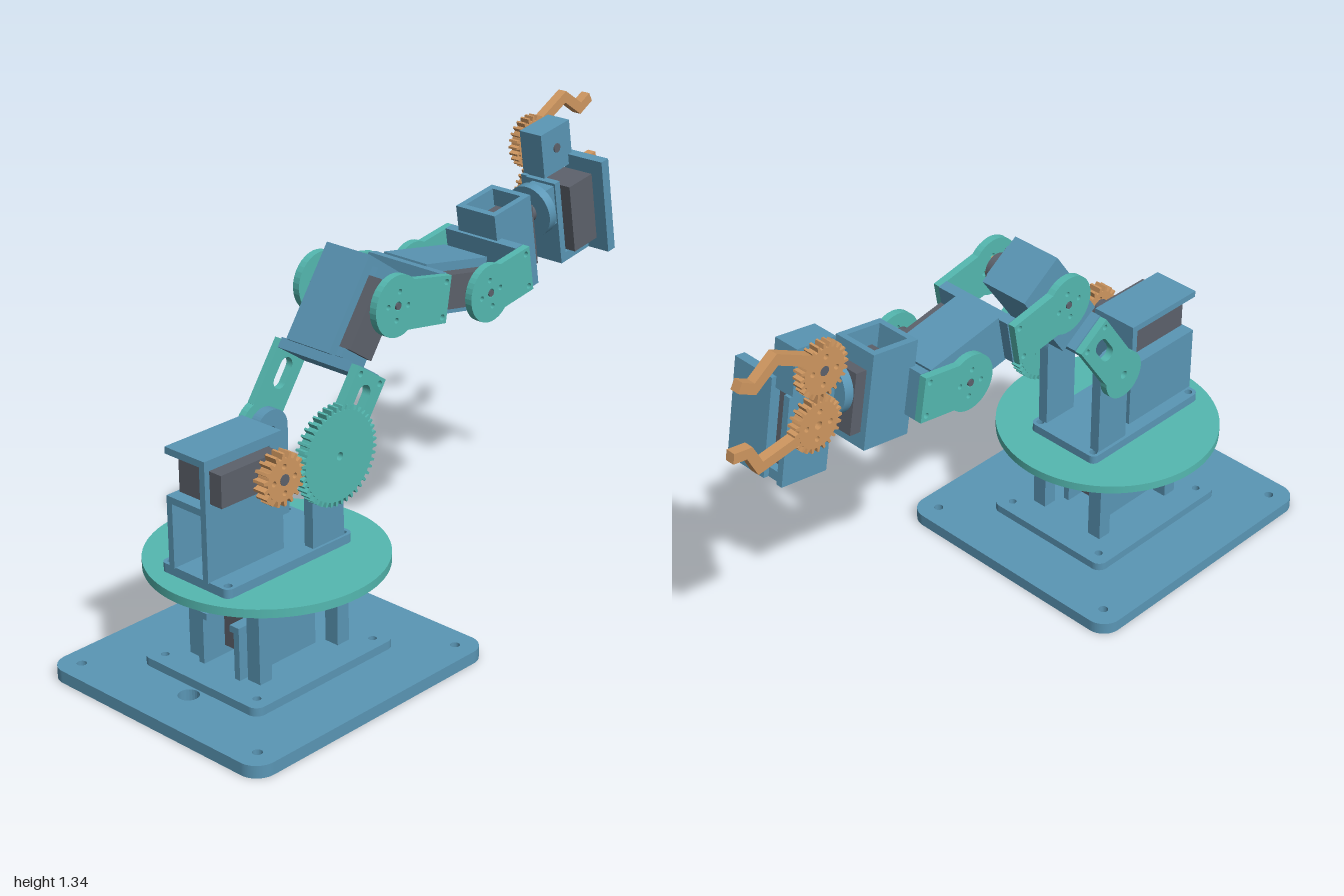
import * as THREE from 'three';

const material = (name, color) => {
  const m = new THREE.MeshStandardMaterial({ color });
  m.name = name;
  return m;
};

export function createModel() {
  const blue = material('steel blue', 0x5a96b5);
  const teal = material('teal', 0x54b8b0);
  const orange = material('orange', 0xcf9760);
  const dark = material('servo grey', 0x5c616b);
  const model = new THREE.Group();

  const add = (parent, name, geo, mat) => {
    const m = new THREE.Mesh(geo, mat);
    m.name = name;
    parent.add(m);
    return m;
  };
  // Box given by its limits
  const box = (parent, name, mat, x0, x1, y0, y1, z0, z1) => {
    const m = add(parent, name, new THREE.BoxGeometry(x1 - x0, y1 - y0, z1 - z0), mat);
    m.position.set((x0 + x1) / 2, (y0 + y1) / 2, (z0 + z1) / 2);
    return m;
  };
  const cyl = (parent, name, mat, r, h, axis, x, y, z, seg = 32) => {
    const m = add(parent, name, new THREE.CylinderGeometry(r, r, h, seg), mat);
    if (axis === 'x') m.rotation.z = Math.PI / 2;
    if (axis === 'z') m.rotation.x = Math.PI / 2;
    m.position.set(x, y, z);
    return m;
  };
  const hole = (shape, x, y, r) => {
    shape.holes.push(new THREE.Path().absarc(x, y, r, 0, Math.PI * 2, true));
  };
  const extrude = (shape, depth) =>
    new THREE.ExtrudeGeometry(shape, { depth, bevelEnabled: false, curveSegments: 12 });
  const upright = (parent, name, mat, shape, z0, z1) => {
    const m = add(parent, name, extrude(shape, z1 - z0), mat);
    m.position.z = z0;
    return m;
  };
  // Horizontal rounded plate with a screw hole in each corner
  const plate = (name, mat, cx, hx, hz, y0, y1, r, inset, holeR, extra) => {
    const s = new THREE.Shape();
    s.absarc(hx - r, hz - r, r, 0, Math.PI / 2);
    s.absarc(-hx + r, hz - r, r, Math.PI / 2, Math.PI);
    s.absarc(-hx + r, -hz + r, r, Math.PI, Math.PI * 1.5);
    s.absarc(hx - r, -hz + r, r, Math.PI * 1.5, Math.PI * 2);
    s.closePath();
    for (const i of [-1, 1]) for (const j of [-1, 1])
      hole(s, i * (hx - inset), j * (hz - inset), holeR);
    if (extra) hole(s, ...extra);
    const m = add(model, name, extrude(s, y1 - y0), mat);
    m.rotation.x = -Math.PI / 2;
    m.position.set(cx, y0, 0);
  };
  // Spur gear lying in the xy plane
  const gear = (parent, name, mat, x, y, z0, z1, r, teeth, depth, holes) => {
    const s = new THREE.Shape();
    const step = (Math.PI * 2) / teeth;
    for (let i = 0; i < teeth; i++)
      [[0, r - depth], [0.28, r - depth], [0.42, r], [0.72, r], [0.86, r - depth]].forEach(([t, q], k) => {
        const a = (i + t) * step;
        s[i + k ? 'lineTo' : 'moveTo'](q * Math.cos(a), q * Math.sin(a));
      });
    s.closePath();
    hole(s, 0, 0, 0.012);
    for (let i = 0; i < holes; i++)
      hole(s, r * 0.5 * Math.cos(i * Math.PI / 2), r * 0.5 * Math.sin(i * Math.PI / 2), 0.008);
    const m = upright(parent, name, mat, s, z0, z1);
    m.position.set(x, y, z0);
  };

  // Base
  plate('basePlate', blue, -0.55, 0.45, 0.41, 0, 0.037, 0.06, 0.065, 0.014, [-0.305, 0, 0.03]);
  plate('baseStep', blue, -0.55, 0.27, 0.225, 0.037, 0.062, 0.03, 0.045, 0.012);
  for (const x of [-0.72, -0.42]) for (const z of [-0.137, 0.09])
    box(model, 'basePost', blue, x, x + 0.045, 0.062, 0.267, z, z + 0.047);
  for (const z of [-0.08, 0.06])
    box(model, 'servoStandWall', blue, -0.74, -0.45, 0.062, 0.22, z, z + 0.02);
  for (const z of [-0.06, 0.045])
    box(model, 'servoStandTop', blue, -0.74, -0.45, 0.2, 0.22, z, z + 0.015);
  box(model, 'baseServo', dark, -0.675, -0.475, 0.1, 0.268, -0.045, 0.045);

  // Turntable
  plate('bearingPlate', teal, -0.545, 0.175, 0.137, 0.265, 0.285, 0.025, 0.02, 0.008);
  cyl(model, 'bearing', teal, 0.123, 0.038, 'y', -0.55, 0.304, 0, 48);
  cyl(model, 'turntableHorn', orange, 0.075, 0.012, 'y', -0.55, 0.326, 0);
  cyl(model, 'turntable', teal, 0.34, 0.025, 'y', -0.55, 0.343, 0, 80);
  plate('shoulderPlate', blue, -0.583, 0.238, 0.13, 0.355, 0.382, 0.02, 0.022, 0.012);

  // Shoulder servo housing with a window for the servo
  const wall = new THREE.Shape();
  [[-0.825, 0.38], [-0.545, 0.38], [-0.545, 0.73], [-0.825, 0.73]].forEach(
    ([x, y], i) => wall[i ? 'lineTo' : 'moveTo'](x, y));
  const win = new THREE.Path();
  [[-0.808, 0.6], [-0.808, 0.7], [-0.59, 0.7], [-0.59, 0.6]].forEach(
    ([x, y], i) => win[i ? 'lineTo' : 'moveTo'](x, y));
  wall.holes.push(win);
  upright(model, 'housingFront', blue, wall, 0.04, 0.06);
  box(model, 'housingBack', blue, -0.825, -0.545, 0.38, 0.59, -0.09, -0.07);
  box(model, 'housingShelf', blue, -0.825, -0.545, 0.57, 0.59, -0.07, 0.04);
  box(model, 'housingTop', blue, -0.825, -0.545, 0.71, 0.73, -0.09, 0.04);
  box(model, 'housingEnd', blue, -0.565, -0.545, 0.59, 0.71, -0.09, 0.04);
  box(model, 'shoulderServo', dark, -0.805, -0.592, 0.603, 0.697, -0.06, 0.1);
  cyl(model, 'servoShaft', dark, 0.035, 0.03, 'z', -0.64, 0.65, 0.112);
  gear(model, 'driveGear', orange, -0.64, 0.65, 0.125, 0.165, 0.076, 18, 0.016, 4);
  cyl(model, 'driveScrew', dark, 0.016, 0.042, 'z', -0.64, 0.65, 0.146);

  // Shoulder posts with rounded tops
  for (const z of [-0.12, 0.09]) {
    const s = new THREE.Shape();
    s.moveTo(-0.495, 0.38);
    s.lineTo(-0.375, 0.38);
    s.lineTo(-0.375, 0.65);
    s.absarc(-0.435, 0.65, 0.06, 0, Math.PI);
    s.closePath();
    hole(s, -0.435, 0.65, 0.012);
    upright(model, 'shoulderPost', blue, s, z, z + 0.032);
  }
  for (const z of [-0.127, 0.127])
    cyl(model, 'shoulderHub', orange, 0.03, 0.02, 'z', -0.435, 0.65, z);

  // Side link: round end on the joint, square end at x = len
  const link = (parent, name, r, half, len, z0, z1, slot) => {
    const s = new THREE.Shape();
    s.moveTo(len, -half);
    s.lineTo(len, half);
    s.lineTo(r * 0.6, Math.max(half, r * 0.8));
    s.absarc(0, 0, r, 0.93, Math.PI * 2 - 0.93);
    s.lineTo(r * 0.6, -Math.max(half, r * 0.8));
    s.closePath();
    hole(s, 0, 0, 0.013);
    for (const q of [-1, 1]) hole(s, len - 0.018, q * (half - 0.018), 0.009);
    if (slot) {
      const p = new THREE.Path();
      p.absarc(0.14, 0, 0.024, Math.PI * 1.5, Math.PI * 0.5, true);
      p.absarc(0.14 + 0.035, 0, 0.024, Math.PI * 0.5, -Math.PI * 0.5, true);
      p.holes = [];
      const c = new THREE.Path();
      c.absarc(0.18, 0, 0.024, Math.PI / 2, -Math.PI / 2, true);
      c.absarc(0.135, 0, 0.024, -Math.PI / 2, -Math.PI * 1.5, true);
      s.holes.push(c);
    } else {
      for (let i = 0; i < 4; i++)
        hole(s, 0.04 * Math.cos(i * Math.PI / 2), 0.04 * Math.sin(i * Math.PI / 2), 0.008);
    }
    upright(parent, name, teal, s, z0, z1);
  };
  const joint = (name, x, y, degrees) => {
    const g = new THREE.Group();
    g.name = name;
    g.position.set(x, y, 0);
    g.rotation.z = degrees * Math.PI / 180;
    model.add(g);
    return g;
  };
  // Servo carrier around the next joint at x = len
  const carrier = (g, x0, len, x1, half) => {
    box(g, 'carrier', blue, x0, x1, -half, half, -0.1, 0.06);
    box(g, 'jointServo', dark, x0 + 0.03, len + 0.05, -0.05, 0.05, 0.06, 0.1);
    for (const x of [x0 + 0.004, len + 0.05])
      box(g, 'servoEar', blue, x, x + 0.026, -0.05, 0.05, 0.06, 0.08);
    cyl(g, 'jointHorn', dark, 0.045, 0.025, 'z', len, 0, 0.112);
    cyl(g, 'frontHub', orange, 0.035, 0.014, 'z', len, 0, 0.129);
    cyl(g, 'rearHub', orange, 0.035, 0.036, 'z', len, 0, -0.118);
    cyl(g, 'jointScrew', dark, 0.01, 0.314, 'z', len, 0, 0);
  };

  // Upper arm
  const upper = joint('upperArm', -0.435, 0.65, 55.4);
  gear(upper, 'shoulderGear', teal, 0, 0, 0.135, 0.168, 0.143, 44, 0.014, 0);
  link(upper, 'frontLink', 0.075, 0.062, 0.24, 0.134, 0.162, true);
  link(upper, 'rearLink', 0.075, 0.062, 0.24, -0.155, -0.132, true);
  box(upper, 'crossPlate', blue, 0.215, 0.245, -0.062, 0.062, -0.132, 0.134);
  carrier(upper, 0.243, 0.431, 0.53, 0.079);

  // Forearm
  const fore = joint('forearm', -0.19, 1.005, -10);
  for (const z of [-0.155, 0.132]) link(fore, 'forearmLink', 0.088, 0.068, 0.208, z, z + 0.023);
  box(fore, 'crossPlate', blue, 0.18, 0.212, -0.07, 0.07, -0.132, 0.132);
  carrier(fore, 0.21, 0.39, 0.472, 0.076);

  // Wrist
  const wrist = joint('wrist', 0.195, 0.937, 9.5);
  for (const z of [-0.155, 0.132]) link(wrist, 'wristLink', 0.085, 0.068, 0.178, z, z + 0.023);
  box(wrist, 'crossPlate', blue, 0.145, 0.175, -0.07, 0.07, -0.132, 0.132);
  for (const z of [-0.09, 0.035])
    box(wrist, 'wristFrameSide', blue, 0.155, 0.315, -0.137, 0.148, z, z + 0.02);
  box(wrist, 'wristFrameBack', blue, 0.155, 0.175, -0.137, 0.148, -0.07, 0.035);
  for (const y of [-0.137, 0.095])
    box(wrist, 'wristFrameEnd', blue, 0.295, 0.315, y, y + (y < 0 ? 0.044 : 0.053), -0.07, 0.035);
  box(wrist, 'wristServo', dark, 0.2, 0.348, -0.093, 0.093, -0.066, 0.031);
  cyl(wrist, 'wristShaft', dark, 0.03, 0.04, 'x', 0.365, 0.05, -0.015);
  cyl(wrist, 'wristDisc', blue, 0.08, 0.03, 'x', 0.395, 0.05, -0.015);
  box(wrist, 'wristCoupling', blue, 0.41, 0.46, -0.01, 0.11, -0.055, 0.025);

  // Gripper body
  const grip = new THREE.Group();
  grip.name = 'gripper';
  wrist.add(grip);
  box(grip, 'gripperBase', blue, 0.458, 0.612, -0.142, 0.12, -0.1, -0.08);
  box(grip, 'gripperHead', blue, 0.47, 0.602, 0.118, 0.255, -0.1, -0.02);
  box(grip, 'gripperOuterPlate', blue, 0.585, 0.617, -0.143, 0.15, -0.036, 0.105);
  box(grip, 'gripperInnerPlate', blue, 0.455, 0.478, -0.143, 0.118, -0.08, 0.03);
  box(grip, 'gripperFloor', blue, 0.46, 0.6, -0.143, -0.115, -0.08, 0.03);
  box(grip, 'gripperServo', dark, 0.479, 0.584, -0.105, 0.105, -0.08, 0.065);
  cyl(grip, 'gearPin', dark, 0.014, 0.121, 'z', 0.535, 0.191, -0.077);

  // Gripper gears and bent fingers, paths running out from each gear
  const finger = (cx, cy, pts, w) => {
    gear(grip, 'fingerGear', orange, cx, cy, -0.137, -0.106, 0.08, 24, 0.014, 4);
    const p = pts.map(([x, y]) => new THREE.Vector2(x, y));
    const offset = (i, side) => {
      const a = p[Math.max(i - 1, 0)], b = p[i], c = p[Math.min(i + 1, p.length - 1)];
      const d1 = b.clone().sub(a), d2 = c.clone().sub(b);
      if (!i) d1.copy(d2);
      if (i === p.length - 1) d2.copy(d1);
      d1.normalize(); d2.normalize();
      const n = new THREE.Vector2(-d1.y - d2.y, d1.x + d2.x).normalize();
      const k = side * w / Math.max(0.5, n.dot(new THREE.Vector2(-d1.y, d1.x)));
      return b.clone().addScaledVector(n, k);
    };
    const left = p.map((_, i) => offset(i, 1));
    const right = p.map((_, i) => offset(i, -1)).reverse();
    upright(grip, 'finger', orange, new THREE.Shape([...right, ...left]), -0.137, -0.108);
  };
  finger(0.535, 0.191, [[0.575, 0.23], [0.7, 0.272], [0.765, 0.21], [0.815, 0.228]], 0.015);
  finger(0.538, 0.035, [[0.6, 0.012], [0.725, -0.027], [0.766, 0.03], [0.818, 0.03]], 0.015);

  return model;
}
